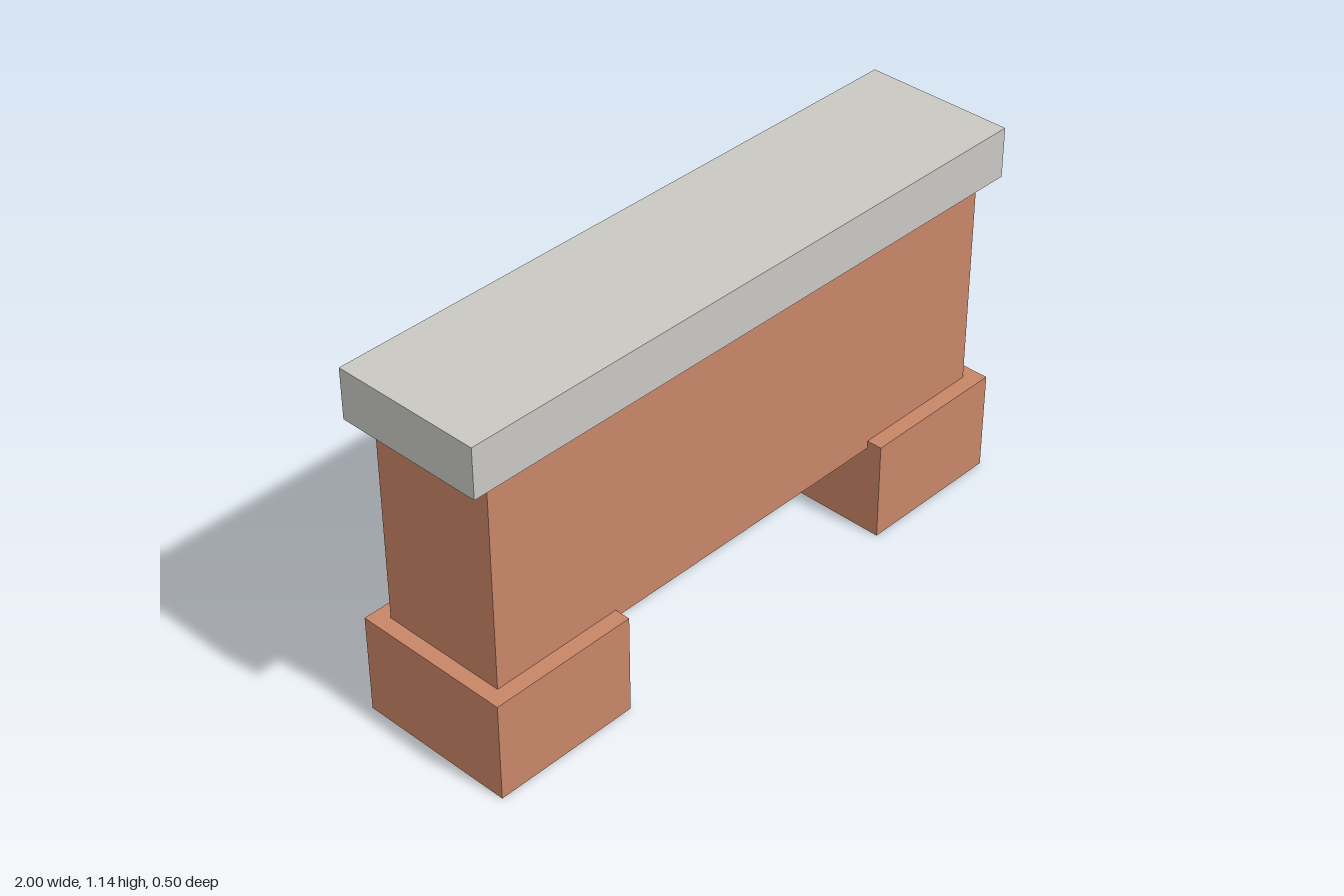
import * as THREE from 'three';

const clay = new THREE.MeshStandardMaterial({ color: 0xc88667 });
clay.name = 'terracotta';
const stone = new THREE.MeshStandardMaterial({ color: 0xc9c8c3 });
stone.name = 'pale grey stone';

// Box given by its width, depth, bottom and top heights, and x centre
function block(name, material, width, depth, bottom, top, x = 0) {
  const mesh = new THREE.Mesh(new THREE.BoxGeometry(width, top - bottom, depth), material);
  mesh.name = name;
  mesh.position.set(x, (bottom + top) / 2, 0);
  return mesh;
}

export function createModel() {
  const model = new THREE.Group();
  model.name = 'planter';

  // Main trough and its overhanging slab
  model.add(block('body', clay, 1.86, 0.404, 0.29, 0.98));
  model.add(block('topSlab', stone, 2, 0.47, 0.98, 1.136));

  // Pair of feet, slightly overlapping the body
  for (const [name, side] of [['leftFoot', 1], ['rightFoot', -1]]) {
    model.add(block(name, clay, 0.472, 0.502, 0, 0.315, side * 0.741));
  }
  return model;
}
